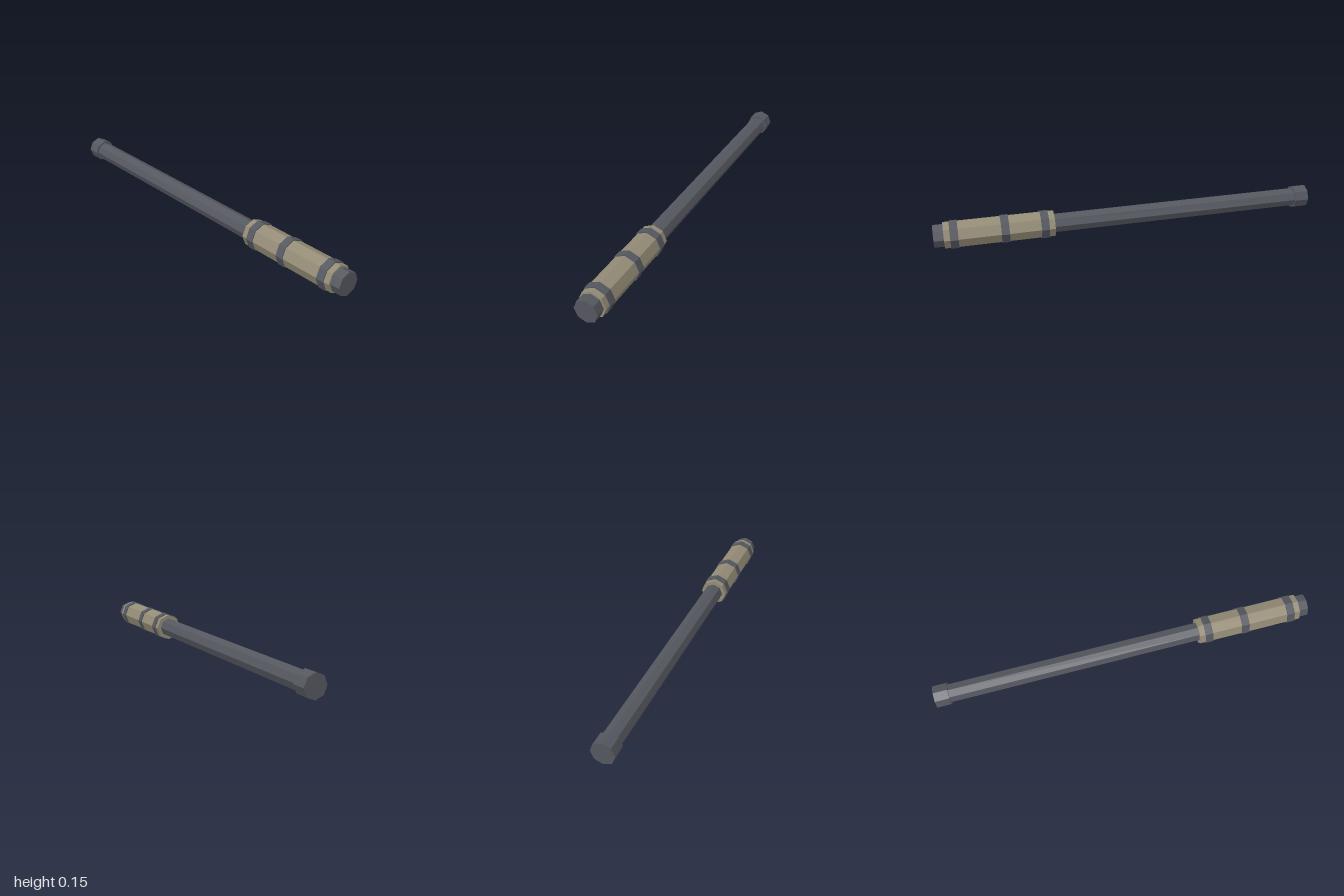
import * as THREE from 'three';

export function createModel() {
  const group = new THREE.Group();
  const metal = new THREE.MeshStandardMaterial({ name: 'dark metal', color: 0x55575f, flatShading: true });
  const wrap = new THREE.MeshStandardMaterial({ name: 'tan grip', color: 0x938b75, flatShading: true });

  // Octagonal prism lying along z, with a corner pointing up
  function prism(name, radius, z0, z1, material) {
    const geometry = new THREE.CylinderGeometry(radius, radius, z1 - z0, 8);
    geometry.rotateX(Math.PI / 2);
    const mesh = new THREE.Mesh(geometry, material);
    mesh.name = name;
    mesh.position.set(0, 0.075, (z0 + z1) / 2);
    group.add(mesh);
  }

  // Shaft and its end caps
  prism('shaft', 0.05, -0.95, 0.45, metal);
  prism('tipCap', 0.06, -1, -0.925, metal);
  prism('pommel', 0.06, 0.9, 1, metal);

  // Grip with three raised bands
  prism('grip', 0.07, 0.4, 0.95, wrap);
  [0.45, 0.65, 0.9].forEach((z, i) => prism('gripBand' + (i + 1), 0.075, z - 0.02, z + 0.02, metal));

  return group;
}
